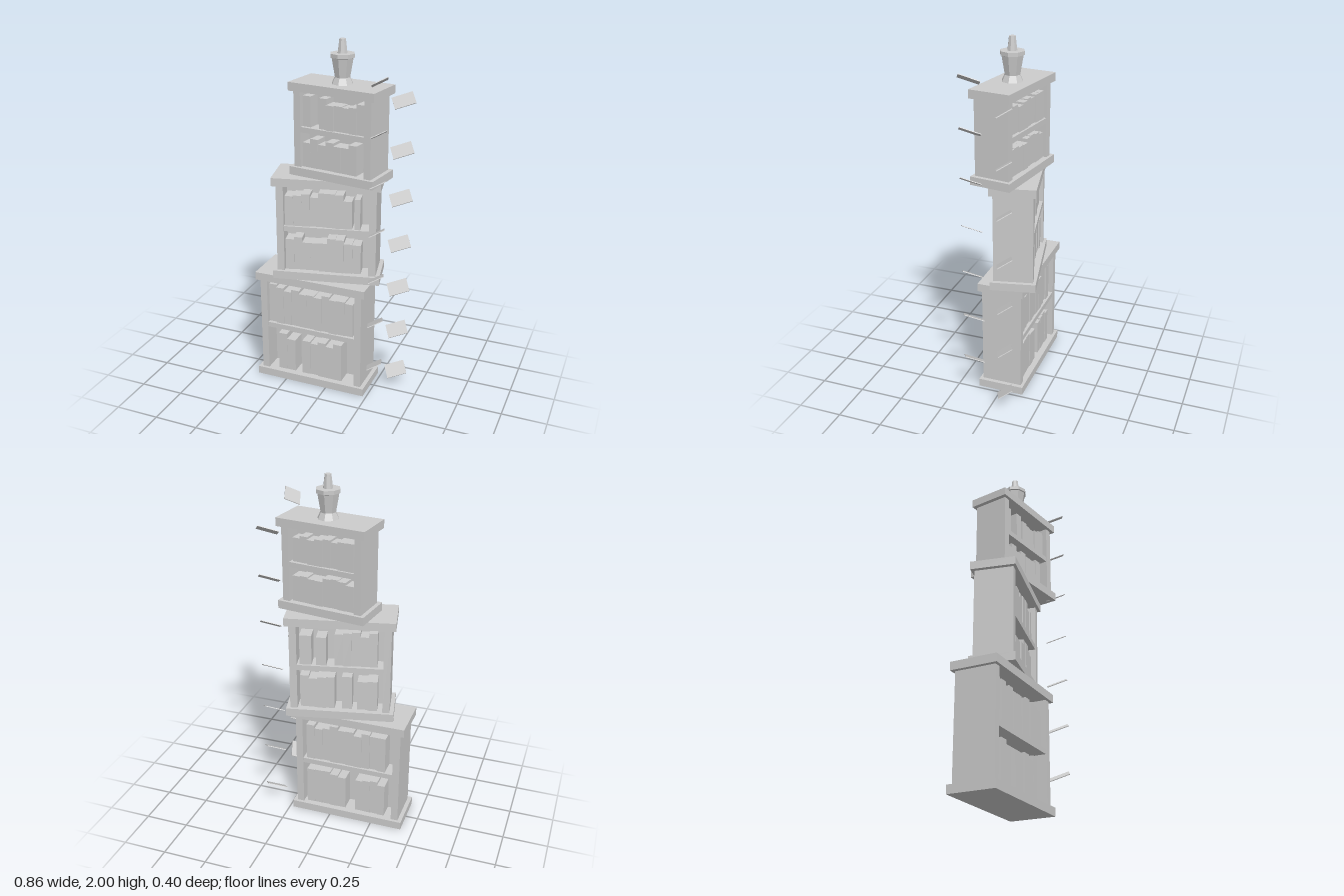
import * as THREE from 'three';

const stone = new THREE.MeshStandardMaterial({ color: 0xcccccc });
stone.name = 'plain grey';

// small seeded generator for the uneven books
let seed = 7;
function rand() {
  seed = (seed * 16807) % 2147483647;
  return seed / 2147483647;
}

function box(parent, name, w, h, d, x, y, z) {
  const mesh = new THREE.Mesh(new THREE.BoxGeometry(w, h, d), stone);
  mesh.name = name;
  mesh.position.set(x, y, z);
  parent.add(mesh);
  return mesh;
}

// A row of books: each run [x0, x1] is filled with volumes of uneven height and depth
function bookRow(parent, name, runs, height, floor, front) {
  const row = new THREE.Group();
  row.name = name;
  for (const [x0, x1] of runs) {
    const n = Math.max(1, Math.round((x1 - x0) / 0.045));
    const w = (x1 - x0) / n;
    for (let i = 0; i < n; i++) {
      const h = height - rand() * 0.04;
      const d = front - rand() * 0.012;
      box(row, 'book', w, h, d, x0 + w * (i + 0.5), floor + h / 2, d / 2);
    }
  }
  parent.add(row);
  return row;
}

// One double-sided bookcase, open at front and back around a middle panel
function bookcase({ name, turn, width, depth, height, frontUpper, frontLower, backUpper, backLower, tall }) {
  const g = new THREE.Group();
  g.name = name;
  g.rotation.y = turn;
  const slab = 0.046, wall = 0.04, shelf = 0.03;
  const w = width - 0.045, d = depth - 0.034;
  const inner = height - 2 * slab, mid = height / 2;

  box(g, 'plinth', width, slab, depth, 0, slab / 2, 0);
  box(g, 'topBoard', width, slab, depth, 0, height - slab / 2, 0);
  for (const s of [-1, 1]) box(g, 'sideWall', wall, inner, d, s * (w - wall) / 2, mid, 0);
  box(g, 'middlePanel', w - 2 * wall, inner, 0.015, 0, mid, 0);
  box(g, 'shelf', w - 2 * wall, shelf, d - 0.006, 0, mid, 0);

  const front = d / 2 - 0.012, upper = mid + shelf / 2;
  bookRow(g, 'frontUpperBooks', frontUpper, tall, upper, front);
  bookRow(g, 'frontLowerBooks', frontLower, tall, slab, front);
  bookRow(g, 'backUpperBooks', backUpper, tall, upper, front).rotation.y = Math.PI;
  bookRow(g, 'backLowerBooks', backLower, tall, slab, front).rotation.y = Math.PI;
  return g;
}

// Eight-sided lathe with flat facets
function facetedLathe(name, points) {
  const geo = new THREE.LatheGeometry(points.map(([r, y]) => new THREE.Vector2(r, y)), 8).toNonIndexed();
  geo.computeVertexNormals();
  const mesh = new THREE.Mesh(geo, stone);
  mesh.name = name;
  return mesh;
}

// Thin floating page spanned by two edge directions around its centre
function page(parent, centre, along, across) {
  const u = new THREE.Vector3(...along), v = new THREE.Vector3(...across);
  const mesh = box(parent, 'page', u.length(), v.length(), 0.004, ...centre);
  u.normalize();
  const n = new THREE.Vector3().crossVectors(u, v).normalize();
  v.crossVectors(n, u);
  mesh.quaternion.setFromRotationMatrix(new THREE.Matrix4().makeBasis(u, v, n));
}

export function createModel() {
  seed = 7;
  const model = new THREE.Group();
  model.name = 'bookTower';

  // three stacked bookcases, each smaller and twisted
  const bottom = bookcase({
    name: 'bottomBookcase', turn: 0, width: 0.66, depth: 0.262, height: 0.668, tall: 0.24,
    frontUpper: [[-0.265, 0.25]], frontLower: [[-0.21, -0.105], [-0.06, 0.185]],
    backUpper: [[-0.25, 0.22]], backLower: [[-0.25, -0.015], [0.045, 0.22]],
  });
  bottom.position.set(-0.1, 0, 0.002);

  const middle = bookcase({
    name: 'middleBookcase', turn: 0.219, width: 0.594, depth: 0.249, height: 0.592, tall: 0.2,
    frontUpper: [[-0.23, 0.14], [0.155, 0.185]], frontLower: [[-0.23, 0.19]],
    backUpper: [[-0.22, -0.155], [-0.13, -0.075], [-0.03, 0.2]],
    backLower: [[-0.22, -0.03], [0.01, 0.065], [0.095, 0.205]],
  });
  middle.position.set(-0.035, 0.673, -0.016);

  const top = bookcase({
    name: 'topBookcase', turn: -0.145, width: 0.507, depth: 0.231, height: 0.505, tall: 0.17,
    frontUpper: [[-0.188, -0.14], [-0.087, 0.18]], frontLower: [[-0.188, 0.14]],
    backUpper: [[-0.18, 0.18]], backLower: [[-0.18, 0.18]],
  });
  top.position.set(0.037, 1.265, -0.006);

  // finial with a flared foot, wide collar and tapering tip
  const finial = new THREE.Group();
  finial.name = 'finial';
  finial.position.set(0.045, 1.77, -0.004);
  finial.add(
    facetedLathe('finialBody', [[0.058, 0], [0.042, 0.035], [0.06, 0.135], [0.066, 0.137], [0.066, 0.157], [0, 0.157]]),
    facetedLathe('finialTip', [[0.027, 0.155], [0.018, 0.23], [0, 0.23]]),
  );

  // two alternating columns of floating pages beside the tower
  const pages = new THREE.Group();
  pages.name = 'floatingPages';
  for (let i = 0; i < 7; i++) {
    const y = 0.267 * i;
    page(pages, [0.356, 0.092 + y, -0.073], [-0.1, -0.034, 0.043], [0.044, -0.04, 0.066]);
    page(pages, [0.2945, 0.226 + y, 0.131], [-0.035, -0.037, -0.103], [-0.072, -0.037, 0.035]);
  }

  model.add(bottom, middle, top, finial, pages);
  return model;
}
